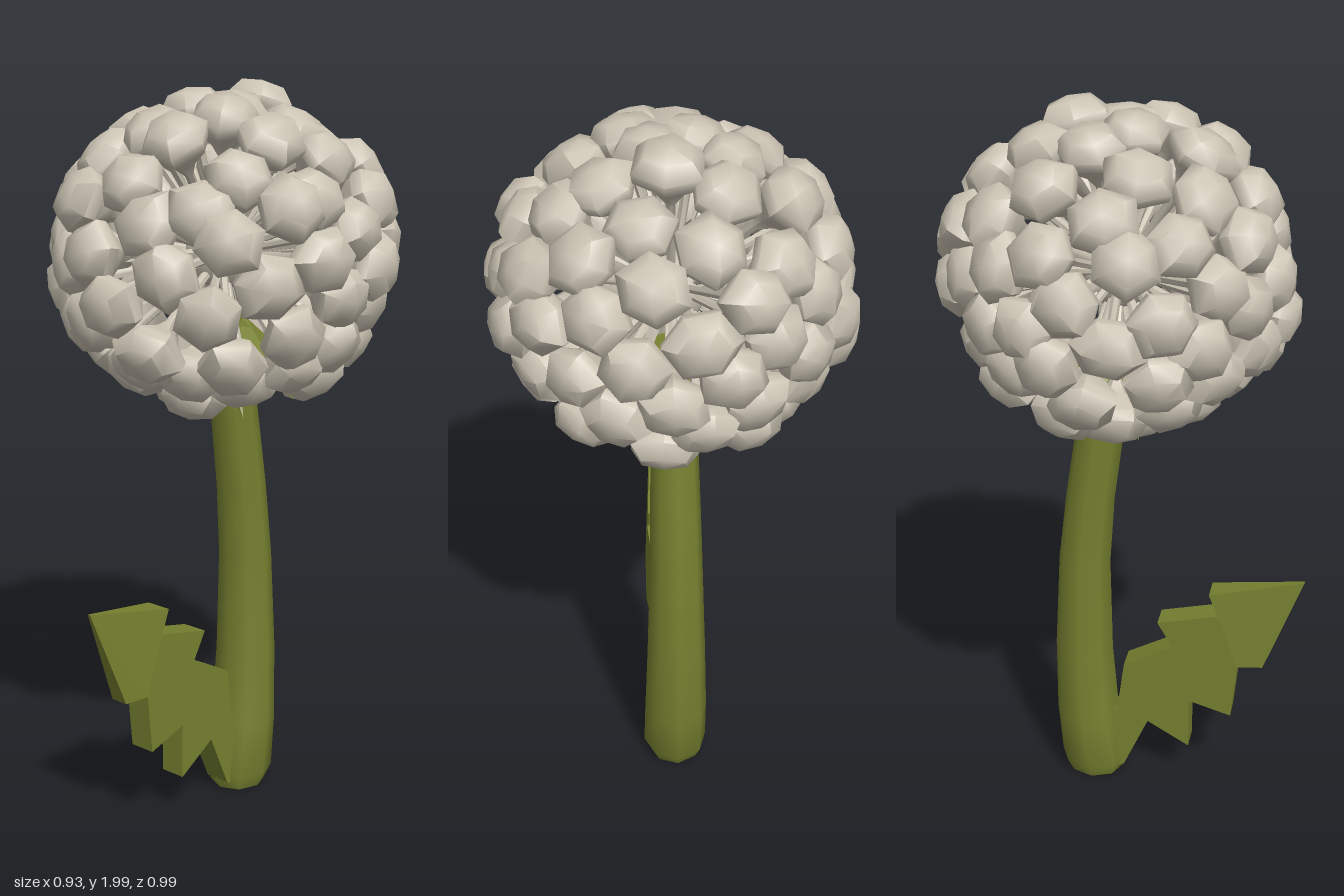
import * as THREE from 'three';
import { toCreasedNormals } from 'three/addons/utils/BufferGeometryUtils.js';

const cream = new THREE.MeshStandardMaterial({ color: 0xcbc3b3 });
cream.name = 'seedCream';
const green = new THREE.MeshStandardMaterial({ color: 0x778130 });
green.name = 'stemGreen';

// small seeded random source
function seeded(seed) {
  return () => (seed = (seed * 16807) % 2147483647) / 2147483647;
}

function add(parent, name, geometry, material) {
  const mesh = new THREE.Mesh(geometry, material);
  mesh.name = name;
  parent.add(mesh);
  return mesh;
}

// bent, tapering stem: each row is [y, z centre, x radius, z radius]
function stemGeometry() {
  const rows = [
    [0.01, -0.09, 0.075, 0.08], [0.05, -0.093, 0.092, 0.098], [0.2, -0.112, 0.09, 0.092],
    [0.42, -0.122, 0.083, 0.083], [0.7, -0.118, 0.074, 0.073], [0.9, -0.1, 0.069, 0.068],
    [1.1, -0.072, 0.064, 0.066], [1.25, -0.05, 0.06, 0.064], [1.4, -0.03, 0.05, 0.05],
  ];
  const g = new THREE.CylinderGeometry(1, 1, rows.length - 1, 8, rows.length - 1);
  const p = g.attributes.position;
  for (let i = 0; i < p.count; i++) {
    const [y, z, rx, rz] = rows[Math.round(p.getY(i) + (rows.length - 1) / 2)];
    p.setXYZ(i, p.getX(i) * rx, y, z + p.getZ(i) * rz);
  }
  return toCreasedNormals(g, 0.95);
}

// toothed leaf, drawn as z, y and thinned toward its tip
function leafGeometry() {
  const outline = [
    [-0.06, 0.02], [0.0, 0.04], [0.07, 0.2], [0.19, 0.13], [0.19, 0.285], [0.31, 0.25],
    [0.325, 0.415], [0.395, 0.415], [0.5, 0.69], [0.24, 0.64], [0.266, 0.575],
    [0.096, 0.535], [0.14, 0.46], [0.0, 0.385], [-0.02, 0.23], [-0.08, 0.2],
  ];
  const shape = new THREE.Shape(outline.map(([z, y]) => new THREE.Vector2(z, y)));
  const g = new THREE.ExtrudeGeometry(shape, { depth: 2, bevelEnabled: false });
  g.translate(0, 0, -1);
  g.rotateY(-Math.PI / 2);
  const p = g.attributes.position;
  for (let i = 0; i < p.count; i++) {
    p.setX(i, p.getX(i) * Math.min(0.037, 0.004 + (0.5 - p.getZ(i)) * 0.2));
  }
  g.computeVertexNormals();
  return g;
}

// one seed: thin stalk opening into a domed, six-sided cap
function seedGeometry(random) {
  const profile = [
    [0.011, 0.06], [0.012, 0.29], [0.035, 0.335], [0.084, 0.385],
    [0.088, 0.415], [0.058, 0.455], [0, 0.468],
  ].map(([r, y]) => new THREE.Vector2(r, y));
  const g = new THREE.LatheGeometry(profile, 6);
  const bend = Array.from({ length: 6 }, () => 0.9 + random() * 0.26);
  const p = g.attributes.position;
  for (let i = 0; i < p.count; i++) {
    const side = Math.floor(i / profile.length) % 6;
    p.setX(i, p.getX(i) * bend[side]);
    p.setZ(i, p.getZ(i) * bend[side]);
  }
  return toCreasedNormals(g, 0.9);
}

export function createModel() {
  const model = new THREE.Group();
  model.name = 'flower';
  add(model, 'stem', stemGeometry(), green);
  add(model, 'leaf', leafGeometry(), green);

  // drooping sepals below the head, tilted with the bent stem
  const calyx = new THREE.Group();
  calyx.name = 'calyx';
  calyx.position.set(0, 1.3, -0.045);
  calyx.rotation.x = 0.25;
  model.add(calyx);
  add(calyx, 'receptacle', toCreasedNormals(new THREE.CylinderGeometry(0.045, 0.085, 0.16, 8), 0.9), green);
  const sepalShape = new THREE.ConeGeometry(0.055, 0.26, 5);
  sepalShape.scale(1, 1, 0.45);
  sepalShape.translate(0, 0.13, 0);
  sepalShape.rotateX(Math.PI - 0.72);
  const sepalGeometry = toCreasedNormals(sepalShape, 0.5);
  for (let i = 0; i < 8; i++) {
    const turn = (i / 8) * Math.PI * 2;
    const sepal = add(calyx, 'sepal', sepalGeometry, green);
    sepal.position.set(Math.sin(turn) * 0.03, 0.07, Math.cos(turn) * 0.03);
    sepal.rotation.y = turn;
  }

  // seed head: seeds spread evenly over a ball, open around the stem
  const head = new THREE.Group();
  head.name = 'seedHead';
  head.position.set(0, 1.555, -0.015);
  head.scale.set(1.01, 0.95, 1);
  model.add(head);
  add(head, 'core', new THREE.IcosahedronGeometry(0.1, 1), cream);
  const random = seeded(4711);
  const up = new THREE.Vector3(0, 1, 0);
  const opening = new THREE.Vector3(0, -1, -0.28).normalize();
  const variants = Array.from({ length: 6 }, () => seedGeometry(random));
  const count = 92;
  for (let i = 0; i < count; i++) {
    const y = 1 - (2 * i + 1) / count;
    const r = Math.sqrt(1 - y * y);
    const turn = i * Math.PI * (3 - Math.sqrt(5));
    const dir = new THREE.Vector3(Math.cos(turn) * r, y, Math.sin(turn) * r);
    dir.x += (random() - 0.5) * 0.13;
    dir.y += (random() - 0.5) * 0.13;
    dir.z += (random() - 0.5) * 0.13;
    dir.normalize();
    const size = 0.95 + random() * 0.09;
    const spin = random() * Math.PI * 2;
    if (dir.dot(opening) > 0.89) continue;
    const seed = add(head, 'seed', variants[i % variants.length], cream);
    seed.quaternion.setFromUnitVectors(up, dir);
    seed.rotateY(spin);
    seed.scale.set(1, size, 1);
  }
  return model;
}
